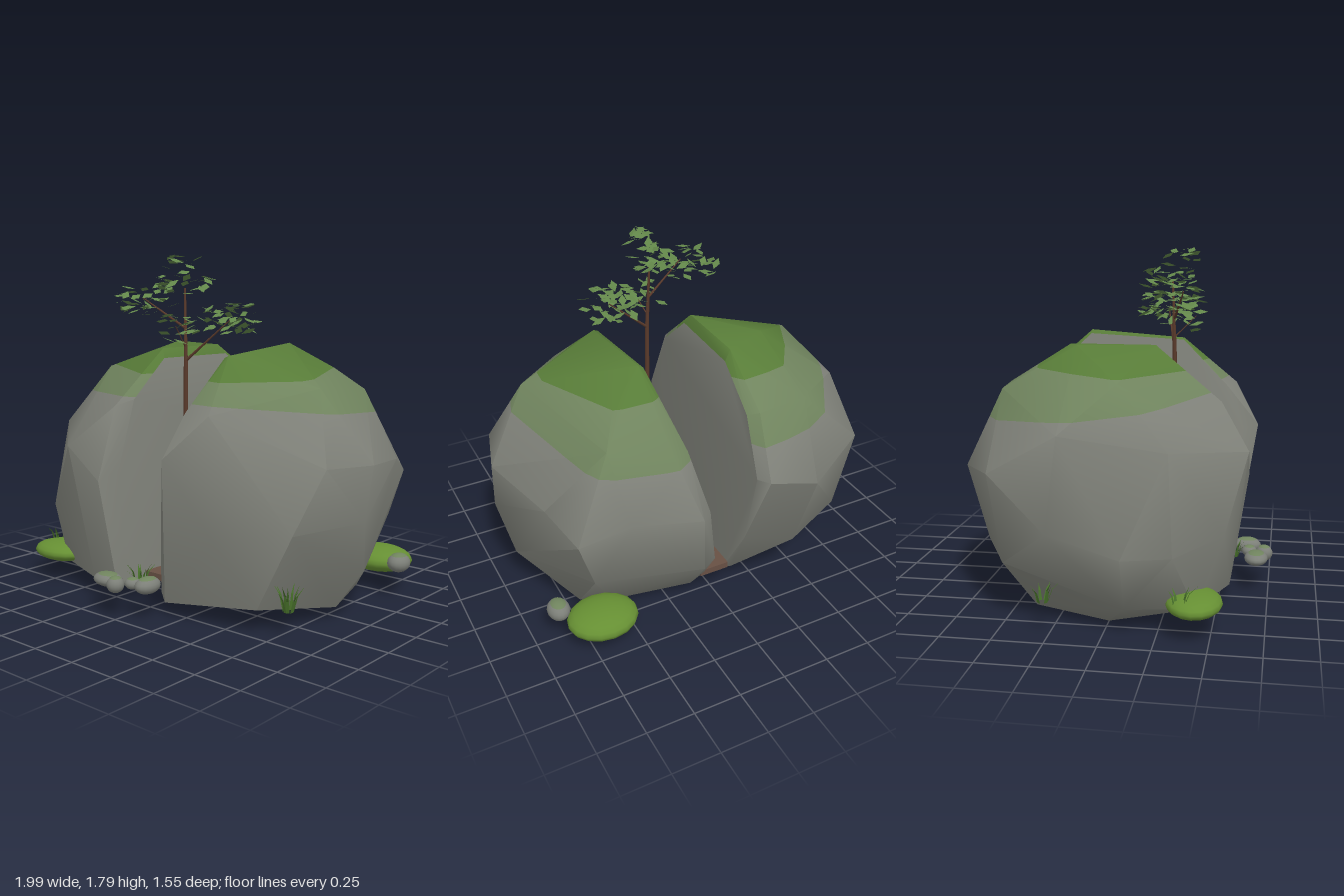
import * as THREE from 'three';
import { toCreasedNormals } from 'three/addons/utils/BufferGeometryUtils.js';
import { ConvexGeometry } from 'three/addons/geometries/ConvexGeometry.js';

const V = (x, y, z) => new THREE.Vector3(x, y, z);
const mat = (name, color, side = THREE.FrontSide) => {
  const m = new THREE.MeshStandardMaterial({ color, side });
  m.name = name;
  return m;
};

// small seeded generator
let seed = 11;
const rnd = () => { seed = (seed * 16807) % 2147483647; return seed / 2147483647; };
const spread = (r) => (rnd() * 2 - 1) * r;

// splits a triangle by the plane y = h + slope * z into the parts above and below
function splitTriangle(tri, h, slope) {
  const above = [], below = [];
  const height = ({ p }) => p.y - h - slope * p.z;
  for (let i = 0; i < 3; i++) {
    const a = tri[i], b = tri[(i + 1) % 3], da = height(a), db = height(b);
    (da >= 0 ? above : below).push(a);
    if ((da >= 0) !== (db >= 0)) {
      const t = da / (da - db);
      const c = { p: a.p.clone().lerp(b.p, t), n: a.n.clone().lerp(b.n, t).normalize() };
      above.push(c);
      below.push(c);
    }
  }
  const fan = (poly) => poly.slice(2).map((q, i) => [poly[0], poly[i + 1], q]);
  return [fan(above), fan(below)];
}

// one half of the boulder: flat split face x = a + b*y + c*z, hull of points, moss bands on top
function boulderHalf([a, b, c], inner, outer, mats) {
  const splitX = (y, z) => a + b * y + c * z;
  const pts = inner.map(([y, z]) => V(splitX(y, z), y, z)).concat(outer.map((p) => V(...p)));
  const g = toCreasedNormals(new ConvexGeometry(pts), 0.7);
  const P = g.attributes.position, N = g.attributes.normal;
  const bands = [[], [], []]; // stone, thin moss, thick moss
  for (let i = 0; i < P.count; i += 3) {
    const tri = [0, 1, 2].map((k) => ({
      p: new THREE.Vector3().fromBufferAttribute(P, i + k),
      n: new THREE.Vector3().fromBufferAttribute(N, i + k),
    }));
    if (tri.every(({ p }) => Math.abs(p.x - splitX(p.y, p.z)) < 0.001)) { bands[0].push(tri); continue; }
    const [mossy, bare] = splitTriangle(tri, 1.02, 0.1);
    bands[0].push(...bare);
    for (const t of mossy) {
      const [thick, thin] = splitTriangle(t, 1.185, -0.04);
      bands[1].push(...thin);
      bands[2].push(...thick);
    }
  }
  const geo = new THREE.BufferGeometry();
  const all = bands.flat(2);
  geo.setAttribute('position', new THREE.Float32BufferAttribute(all.flatMap((v) => v.p.toArray()), 3));
  geo.setAttribute('normal', new THREE.Float32BufferAttribute(all.flatMap((v) => v.n.toArray()), 3));
  let start = 0;
  bands.forEach((list, i) => { geo.addGroup(start, list.length * 3, i); start += list.length * 3; });
  return new THREE.Mesh(geo, mats);
}

// open geometry from a list of triangles
function fromTriangles(tris) {
  const geo = new THREE.BufferGeometry();
  geo.setAttribute('position', new THREE.Float32BufferAttribute(tris.flatMap((v) => v.toArray()), 3));
  geo.computeVertexNormals();
  return geo;
}

export function createModel() {
  seed = 11;
  const model = new THREE.Group();
  const stone = mat('stone', 0x7f8179);
  const thinMoss = mat('thin moss', 0x70845e);
  const thickMoss = mat('thick moss', 0x587c38);
  const cushion = mat('moss cushion', 0x668f33);
  const bark = mat('bark', 0x5a3a2b);
  const soil = mat('soil', 0x675044);
  const leaf = mat('leaf', 0x628649, THREE.DoubleSide);
  const grass = mat('grass', 0x47702a, THREE.DoubleSide);
  const pebble = mat('pebble', 0x7c7f78);
  const add = (mesh, name, parent = model) => { mesh.name = name; parent.add(mesh); return mesh; };
  const rockMats = [stone, thinMoss, thickMoss];

  // boulder halves: split outline as [y, z], then the outer points
  add(boulderHalf([0.04, 0.185, 0.04],
    [[0.1, 0.5], [0.09, 0], [0.1, -0.5], [0.35, -0.68], [0.7, -0.73], [1.0, -0.6], [1.31, -0.27],
      [1.28, 0.25], [1.03, 0.5], [0.8, 0.59], [0.4, 0.56]],
    [[0.3, 1.33, -0.27], [0.31, 1.29, 0.25], [0.25, 0.82, 0.67], [0.43, 1.03, 0.54], [0.77, 1.15, 0.12],
      [0.5, 1.2, -0.4], [0.6, 1.08, -0.55], [0.29, 1.0, -0.65], [1.0, 0.79, 0], [0.99, 0.52, 0.05],
      [0.88, 0.75, -0.42], [0.8, 0.65, -0.64], [0.55, 0.75, -0.72], [0.2, 0.7, -0.78], [0.18, 0.38, -0.76],
      [0.72, 0.4, -0.63], [0.84, 0.5, 0.43], [0.92, 0.8, 0.28], [0.5, 0.45, 0.59], [0.93, 0.25, -0.05],
      [0.82, 0.06, 0.03], [0.7, 0.06, -0.35], [0.5, 0.01, 0.02], [0.53, 0.015, -0.38], [0.15, 0.07, 0.55],
      [0.66, 0.12, 0.46], [0.12, 0.06, -0.5]], rockMats), 'leftBoulderHalf');
  add(boulderHalf([-0.115, -0.055, -0.045],
    [[0.1, 0.5], [0.08, -0.48], [0.4, -0.66], [0.8, -0.72], [1.08, -0.56], [1.25, -0.3],
      [1.25, 0.18], [1.05, 0.41], [0.7, 0.54], [0.3, 0.53]],
    [[-0.21, 1.3, -0.28], [-0.22, 1.3, 0.16], [-0.24, 1.02, 0.5], [-0.22, 0.65, 0.645], [-0.18, 0.09, 0.56],
      [-0.17, 0.8, -0.78], [-0.2, 1.1, -0.6], [-0.44, 1.315, -0.2], [-0.74, 1.17, 0.05], [-0.44, 0.81, 0.65],
      [-0.83, 0.87, 0.3], [-0.91, 0.95, -0.2], [-0.97, 0.4, 0.1], [-0.95, 0.5, -0.25], [-0.85, 0.75, -0.55],
      [-0.46, 0.7, -0.77], [-0.48, 1.1, -0.57], [-0.67, 0.45, 0.55], [-0.9, 0.4, 0.33], [-0.72, 0.1, 0.42],
      [-0.68, 0, 0], [-0.6, 0.03, -0.38], [-0.78, 0.3, -0.5], [-0.4, 0.3, -0.68], [-0.86, 0.13, 0.1],
      [-0.35, 0.1, 0.56], [-0.14, 0.06, -0.48]], rockMats), 'rightBoulderHalf');

  // strip of earth in the gap
  add(new THREE.Mesh(new THREE.BoxGeometry(0.165, 0.035, 1.0), soil), 'soilStrip').position.set(0.002, 0.148, -0.05);

  // sapling: tapered limbs
  const tree = add(new THREE.Group(), 'sapling');
  const limb = (from, to, r0, r1, name) => {
    const dir = to.clone().sub(from);
    const m = add(new THREE.Mesh(new THREE.CylinderGeometry(r1, r0, dir.length(), 7), bark), name, tree);
    m.position.copy(from).addScaledVector(dir, 0.5);
    m.quaternion.setFromUnitVectors(V(0, 1, 0), dir.normalize());
  };
  limb(V(0.01, 0.13, 0.24), V(0.008, 1.25, 0.23), 0.016, 0.011, 'lowerTrunk');
  limb(V(0.008, 1.25, 0.23), V(-0.005, 1.62, 0.22), 0.011, 0.005, 'upperTrunk');
  limb(V(0.008, 1.25, 0.23), V(0.25, 1.46, 0.17), 0.008, 0.003, 'leftBranch');
  limb(V(0.0, 1.42, 0.23), V(-0.23, 1.57, 0.3), 0.007, 0.003, 'rightBranch');
  limb(V(0.005, 1.32, 0.23), V(0.04, 1.43, 0.34), 0.004, 0.002, 'frontBranch');

  // diamond leaves scattered in clusters: centre, radii, count
  const leaves = [];
  const clusters = [
    [V(-0.25, 1.56, 0.25), V(0.15, 0.08, 0.16), 44],
    [V(0.25, 1.47, 0.15), V(0.15, 0.08, 0.15), 44],
    [V(0, 1.69, 0.22), V(0.11, 0.11, 0.15), 32],
    [V(0.02, 1.42, 0.27), V(0.12, 0.08, 0.12), 22],
  ];
  for (const [c, r, count] of clusters) {
    for (let i = 0; i < count; i++) {
      const dir = V(spread(1), spread(1), spread(1));
      if (dir.length() > 1) dir.normalize();
      const p = c.clone().add(dir.multiply(r));
      const turn = new THREE.Euler(spread(0.5), rnd() * Math.PI * 2, spread(0.5), 'YXZ');
      const [base, right, tip, left] = [V(0, 0, -0.04), V(0.022, 0, 0), V(0, 0, 0.042), V(-0.022, 0, 0)]
        .map((v) => v.applyEuler(turn).add(p));
      leaves.push(base, left, tip, base, tip, right);
    }
  }
  add(new THREE.Mesh(fromTriangles(leaves), leaf), 'leaves', tree);

  // moss cushions beside the boulder
  const blob = (m, p, s, name, cap = Math.PI) => {
    const mesh = add(new THREE.Mesh(new THREE.SphereGeometry(1, 16, 10, 0, Math.PI * 2, 0, cap), m), name);
    mesh.position.set(...p);
    mesh.scale.set(...s);
  };
  blob(cushion, [-0.765, 0.15, 0.42], [0.18, 0.055, 0.135], 'frontMossCushion');
  blob(cushion, [0.68, 0.15, -0.61], [0.185, 0.07, 0.155], 'backMossCushion');

  // pebbles with mossy caps
  const pebbles = [
    [[-0.115, 0.17, 0.685], [0.085, 0.035, 0.062]], [[-0.02, 0.17, 0.725], [0.045, 0.042, 0.045]],
    [[0.11, 0.17, 0.63], [0.055, 0.042, 0.075]], [[0.02, 0.165, 0.645], [0.042, 0.03, 0.04]],
    [[0.87, 0.18, -0.49], [0.058, 0.05, 0.07]],
  ];
  pebbles.forEach(([p, s]) => {
    blob(pebble, p, s, 'pebble');
    blob(thinMoss, p, s.map((v) => v * 1.03), 'pebbleMoss', 0.7);
  });

  // grass tufts: centre, blade height, blade count
  const tufts = [
    [V(0.8, 0.13, 0.4), 0.15, 11], [V(-0.01, 0.14, 0.56), 0.13, 9],
    [V(-0.92, 0.17, -0.27), 0.11, 7], [V(-0.88, 0.17, 0.36), 0.1, 6],
  ];
  for (const [c, h, count] of tufts) {
    const blades = [];
    for (let i = 0; i < count; i++) {
      const ang = rnd() * Math.PI * 2, len = h * (0.6 + 0.4 * rnd()), lean = 0.02 + rnd() * 0.05;
      const out = V(Math.cos(ang), 0, Math.sin(ang)), side = V(-out.z, 0, out.x).multiplyScalar(0.008);
      const root = c.clone().addScaledVector(out, 0.025);
      const mid = root.clone().addScaledVector(out, lean * 0.35).add(V(0, len * 0.6, 0));
      const tip = root.clone().addScaledVector(out, lean).add(V(0, len, 0));
      const [r0, r1] = [root.clone().sub(side), root.clone().add(side)];
      const [m0, m1] = [mid.clone().addScaledVector(side, -0.7), mid.clone().addScaledVector(side, 0.7)];
      blades.push(r0, r1, m1, r0, m1, m0, m0, m1, tip);
    }
    add(new THREE.Mesh(fromTriangles(blades), grass), 'grassTuft');
  }
  return model;
}
